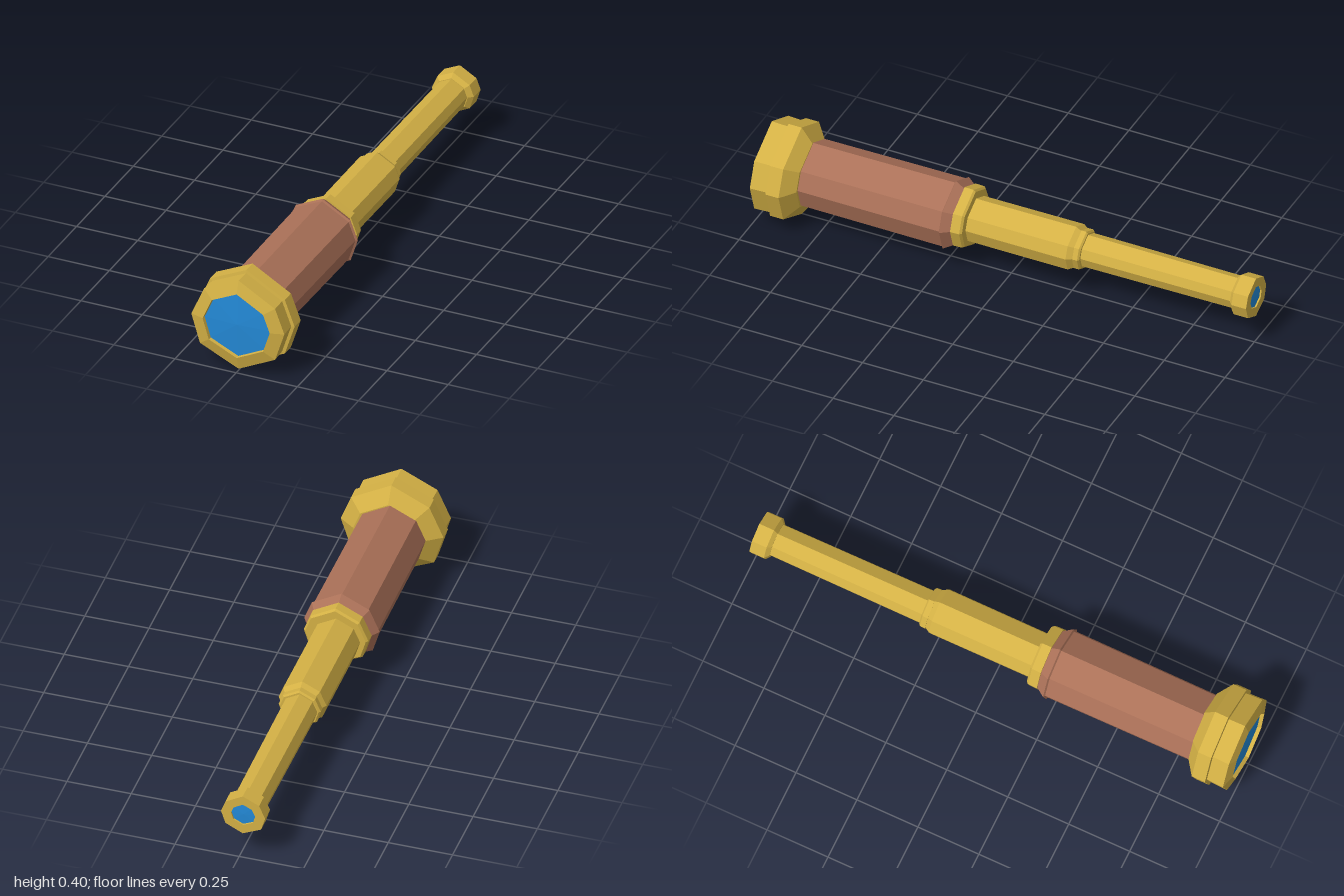
import * as THREE from 'three';

// Slightly irregular hand-cut octagon, clockwise seen from the front
const OCTAGON = [[0.015, 0.975], [0.8, 0.525], [1, 0], [0.8, -0.615],
  [0.015, -1], [-0.815, -0.615], [-1, 0], [-0.725, 0.625]];

// Facetted loft: profile of [z, radius] from front to back around an axis at (cx, cy)
function loft(profile, cx, cy) {
  const rings = profile.map(([z, r]) =>
    OCTAGON.map(([x, y]) => new THREE.Vector3(cx + x * r, cy + y * r, z)));
  const positions = [];
  const triangle = (a, b, c) => {
    if (a.equals(b) || b.equals(c) || a.equals(c)) return;
    for (const p of [a, b, c]) positions.push(p.x, p.y, p.z);
  };
  for (let i = 0; i < rings.length - 1; i++) {
    for (let k = 0; k < 8; k++) {
      const n = (k + 1) % 8;
      triangle(rings[i][k], rings[i][n], rings[i + 1][k]);
      triangle(rings[i][n], rings[i + 1][n], rings[i + 1][k]);
    }
  }
  const geometry = new THREE.BufferGeometry();
  geometry.setAttribute('position', new THREE.Float32BufferAttribute(positions, 3));
  geometry.computeVertexNormals();
  return geometry;
}

export function createModel() {
  const material = (name, color) => {
    const m = new THREE.MeshStandardMaterial({ color });
    m.name = name;
    return m;
  };
  const brass = material('brass', 0xd4b145);
  const wood = material('wood', 0xab7158);
  const glass = material('blue glass', 0x2389d6);

  const model = new THREE.Group();
  model.name = 'spyglass';
  const add = (name, mat, cx, cy, profile) => {
    const mesh = new THREE.Mesh(loft(profile, cx, cy), mat);
    mesh.name = name;
    model.add(mesh);
  };

  // Large front lens in its bevelled brass hood
  add('frontLens', glass, 0, 0.2, [[0.992, 0], [0.985, 0.137]]);
  add('frontHood', brass, 0, 0.2, [[0.98, 0.135], [1, 0.137], [0.985, 0.19],
    [0.918, 0.187], [0.916, 0.2], [0.862, 0.2], [0.818, 0.138], [0.818, 0.12]]);

  // Wooden barrel with a flared rear edge
  add('barrel', wood, -0.007, 0.201, [[0.83, 0.136], [0.235, 0.139],
    [0.23, 0.147], [0.192, 0.12], [0.192, 0.08]]);

  // Brass collar and middle draw tube
  add('barrelCollar', brass, -0.007, 0.204, [[0.195, 0.1], [0.195, 0.127],
    [0.158, 0.126], [0.15, 0.118], [0.15, 0.08]]);
  add('middleTube', brass, -0.011, 0.197, [[0.16, 0.092], [-0.262, 0.093],
    [-0.286, 0.078], [-0.286, 0.06]]);
  add('middleCollar', brass, -0.013, 0.196, [[-0.282, 0.06], [-0.282, 0.082],
    [-0.303, 0.082], [-0.309, 0.075], [-0.309, 0.05]]);

  // Thin draw tube and eyepiece
  add('rearTube', brass, -0.015, 0.196, [[-0.3, 0.068], [-0.94, 0.065]]);
  add('eyepiece', brass, -0.015, 0.196, [[-0.925, 0.06], [-0.925, 0.068],
    [-0.94, 0.086], [-1, 0.086], [-1, 0.047], [-0.99, 0.046]]);
  add('eyeLens', glass, -0.015, 0.196, [[-0.994, 0.047], [-0.996, 0]]);

  return model;
}
